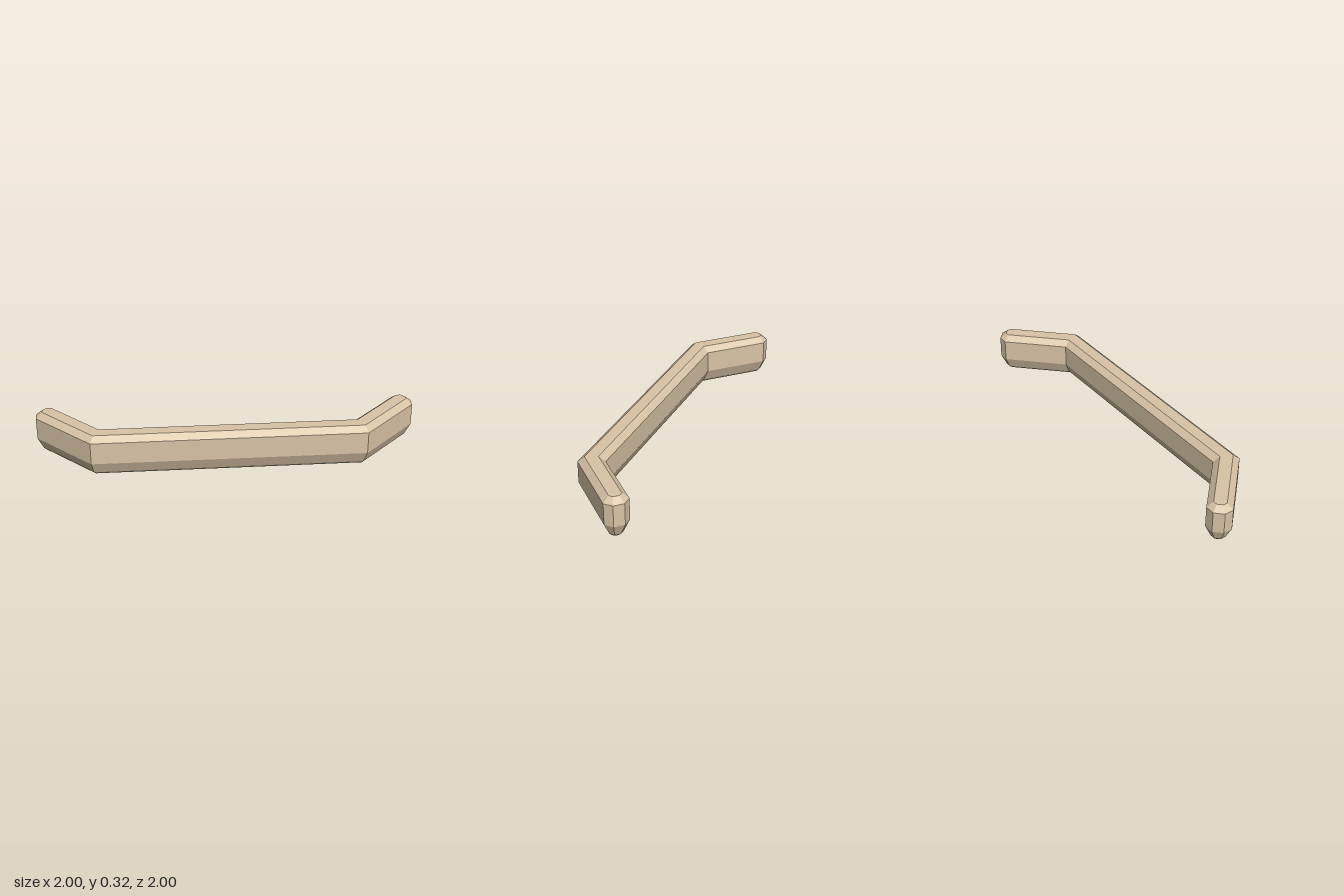
import * as THREE from 'three';

// Plan outline (x, z) at full width; the second half mirrors the first across x = -z
const OUTER = [[-0.95, -1], [-1, -0.95], [-1, -0.39]];
const INNER = [[1, 0.95], [1, 0.87], [0.95, 0.82], [0.46, 0.82]];
const flip = ([x, z]) => [-z, -x];
const OUTLINE = [
  ...OUTER.slice(1), flip(OUTER[2]), flip(OUTER[1]),
  ...INNER, ...INNER.slice().reverse().map(flip),
].map(([x, z]) => new THREE.Vector2(x, z));

// Height and inward offset of each level, from the underside to the top face
const LEVELS = [[0, 0.065], [0.025, 0.04], [0.115, 0], [0.28, 0], [0.32, 0.045]];

// Move every edge of the outline inward by the same distance, with mitred corners
function inset(points, amount) {
  const count = points.length;
  const normal = (i) => {
    const d = points[(i + 1) % count].clone().sub(points[i]).normalize();
    return new THREE.Vector2(d.y, -d.x);
  };
  return points.map((p, i) => {
    const a = normal((i + count - 1) % count);
    const b = normal(i);
    return p.clone().addScaledVector(a.clone().add(b), amount / (1 + a.dot(b)));
  });
}

function bevelledBar() {
  const rings = LEVELS.map(([y, amount]) =>
    inset(OUTLINE, amount).map((p) => [p.x, y, p.y]));
  const positions = [];
  const triangle = (a, b, c) => positions.push(...a, ...b, ...c);

  // Sides and bevels between neighbouring levels
  for (let l = 0; l < rings.length - 1; l++) {
    const low = rings[l];
    const high = rings[l + 1];
    for (let i = 0; i < low.length; i++) {
      const j = (i + 1) % low.length;
      triangle(low[i], low[j], high[j]);
      triangle(low[i], high[j], high[i]);
    }
  }

  // Top and bottom faces
  const bottom = rings[0];
  const top = rings[rings.length - 1];
  const flat = (ring) => ring.map(([x, , z]) => new THREE.Vector2(x, -z));
  for (const [a, b, c] of THREE.ShapeUtils.triangulateShape(flat(top), [])) {
    triangle(top[a], top[b], top[c]);
  }
  for (const [a, b, c] of THREE.ShapeUtils.triangulateShape(flat(bottom), [])) {
    triangle(bottom[c], bottom[b], bottom[a]);
  }

  const geometry = new THREE.BufferGeometry();
  geometry.setAttribute('position', new THREE.Float32BufferAttribute(positions, 3));
  geometry.computeVertexNormals();
  return geometry;
}

export function createModel() {
  const sand = new THREE.MeshStandardMaterial({ color: 0xd9c4a6, flatShading: true });
  sand.name = 'sand';

  const bar = new THREE.Mesh(bevelledBar(), sand);
  bar.name = 'bentBar';

  const model = new THREE.Group();
  model.name = 'bentBarModel';
  model.add(bar);
  return model;
}
